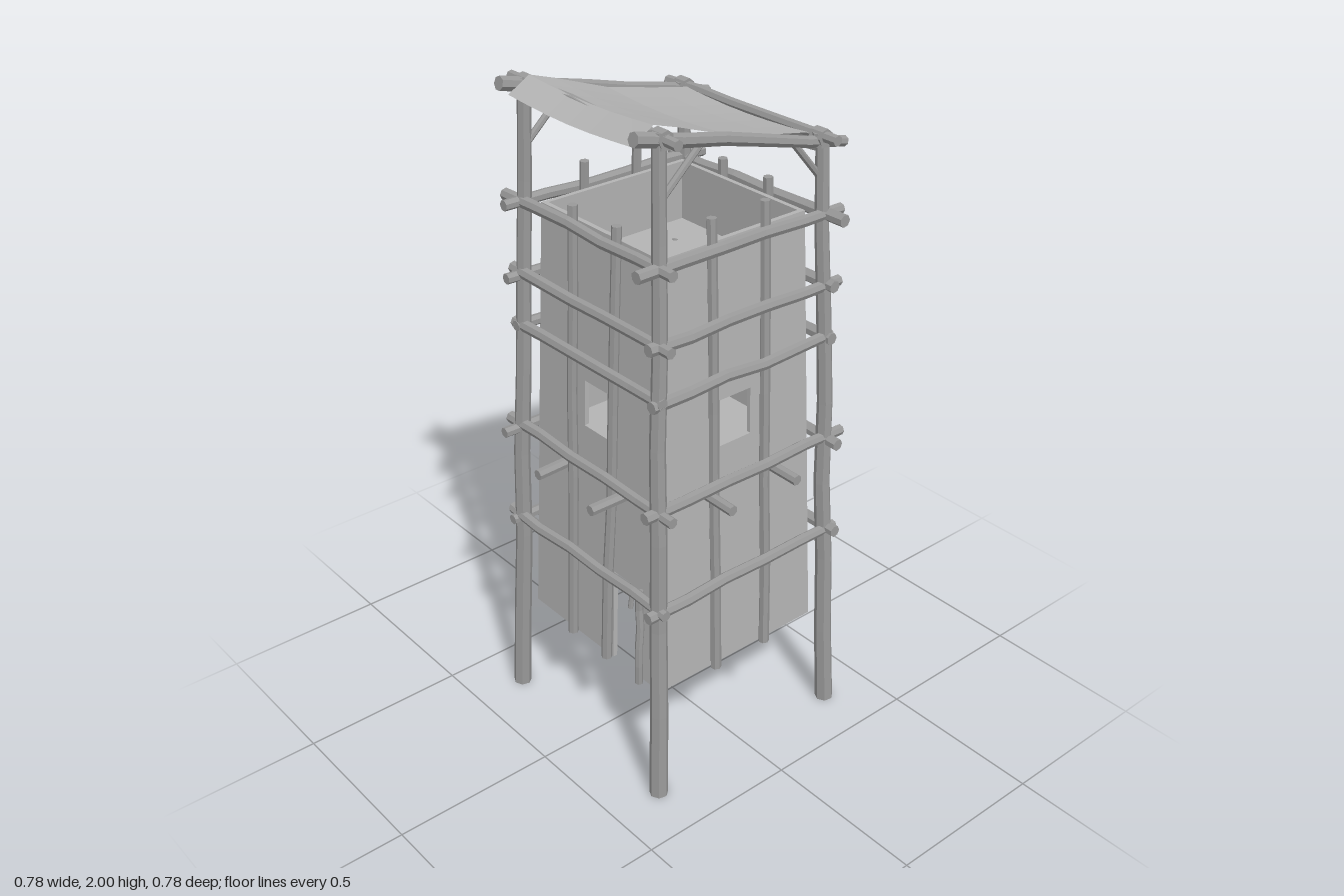
import * as THREE from 'three';

const wood = new THREE.MeshStandardMaterial({ color: 0x999999, flatShading: true });
wood.name = 'weathered wood';
const panel = new THREE.MeshStandardMaterial({ color: 0xb4b4b4, flatShading: true, side: THREE.DoubleSide });
panel.name = 'pale panel';

let seed = 7;
const rand = () => {
  seed = (seed * 16807) % 2147483647;
  return seed / 2147483647 - 0.5;
};

// Half-widths of the tapering tower at a given height
const wallAt = (y) => 0.305 - 0.034 * y;
const legAt = (y) => 0.335 - 0.032 * y;

// Slightly crooked log between two points
function log(parent, name, a, b, r0, r1 = r0, bend = 0.008, rows = 5) {
  const from = new THREE.Vector3(...a), to = new THREE.Vector3(...b);
  const length = from.distanceTo(to);
  const geo = new THREE.CylinderGeometry(r1, r0, length, 7, rows);
  const shift = [];
  for (let i = 0; i <= rows; i++) {
    const inner = i > 0 && i < rows ? bend : 0;
    shift.push([rand() * inner, rand() * inner]);
  }
  const p = geo.attributes.position;
  for (let i = 0; i < p.count; i++) {
    const row = Math.round((p.getY(i) / length + 0.5) * rows);
    p.setX(i, p.getX(i) + shift[row][0]);
    p.setZ(i, p.getZ(i) + shift[row][1]);
  }
  geo.computeVertexNormals();
  const mesh = new THREE.Mesh(geo, wood);
  mesh.name = name;
  mesh.position.copy(from).add(to).multiplyScalar(0.5);
  mesh.quaternion.setFromUnitVectors(new THREE.Vector3(0, 1, 0), to.sub(from).normalize());
  parent.add(mesh);
}

// Tapered wall with a window and, on the front, a doorway
function wall(hasDoor) {
  const lo = 0.32, hi = 1.635, s = new THREE.Shape();
  s.moveTo(-wallAt(lo), lo);
  if (hasDoor) {
    s.lineTo(0.08, lo);
    s.lineTo(0.08, 0.62);
    s.lineTo(0.2, 0.62);
    s.lineTo(0.2, lo);
  }
  s.lineTo(wallAt(lo), lo);
  s.lineTo(wallAt(hi), hi);
  s.lineTo(-wallAt(hi), hi);
  s.closePath();
  const hole = new THREE.Path();
  hole.moveTo(-0.058, 1.035);
  hole.lineTo(-0.058, 1.175);
  hole.lineTo(0.053, 1.175);
  hole.lineTo(0.053, 1.035);
  hole.closePath();
  s.holes.push(hole);
  const geo = new THREE.ExtrudeGeometry(s, { depth: 0.014, bevelEnabled: false });
  const p = geo.attributes.position;
  for (let i = 0; i < p.count; i++) p.setZ(i, p.getZ(i) - 0.014 + wallAt(p.getY(i)));
  geo.computeVertexNormals();
  const mesh = new THREE.Mesh(geo, panel);
  mesh.name = 'wall';
  return mesh;
}

function ladder(name, x, y0, z0, y1, z1) {
  const g = new THREE.Group();
  g.name = name;
  for (const dx of [0, 0.095]) log(g, 'ladderRail', [x + dx, y0, z0], [x + dx, y1, z1], 0.008);
  for (let i = 1; i < 6; i++) {
    const t = i / 6, y = y0 + (y1 - y0) * t, z = z0 + (z1 - z0) * t;
    log(g, 'ladderRung', [x - 0.015, y, z], [x + 0.11, y, z], 0.006, 0.006, 0, 1);
  }
  return g;
}

export function createModel() {
  const model = new THREE.Group();
  model.name = 'watchtower';

  // Four sides: wall, two upright poles and five cross beams each
  const beams = [[0.63, 0.36, 0.352], [0.94, 0.36, 0.37], [1.265, 0.325, 0.318], [1.425, 0.33, 0.345], [1.63, 0.36, 0.345]];
  const sideNames = ['frontSide', 'leftSide', 'backSide', 'rightSide'];
  sideNames.forEach((name, k) => {
    const side = new THREE.Group();
    side.name = name;
    side.rotation.y = k * Math.PI / 2;
    side.add(wall(k === 0));
    const top = k % 2 ? 1.71 : 1.68;
    for (const s of [-1, 1]) {
      const x0 = k === 0 && s > 0 ? 0.066 : s * 0.095;
      log(side, 'uprightPole', [x0, 0.32, wallAt(0.32) + 0.014], [s * 0.092, top, wallAt(top) + 0.014], 0.016, 0.014);
    }
    for (const [y, a, b] of beams) {
      const z = legAt(y) + 0.006;
      log(side, 'crossBeam', [-a, y + rand() * 0.014, z], [b, y + rand() * 0.014, z], 0.018, 0.016, 0.01);
    }
    if (k === 0) log(side, 'doorPost', [0.215, 0.315, 0.308], [0.21, 0.63, 0.297], 0.012);
    model.add(side);
  });

  // Corner legs, the front pair taller
  for (const sx of [-1, 1]) for (const sz of [-1, 1]) {
    const top = sz > 0 ? 1.98 : 1.85;
    log(model, 'cornerLeg', [sx * 0.338, 0, sz * 0.338], [sx * legAt(top), top, sz * legAt(top)], 0.028, 0.019, 0.008, 7);
  }

  // Floors and the beams carrying the lower one
  for (const y of [0.935, 1.45]) {
    const w = 2 * wallAt(y) - 0.02;
    const floor = new THREE.Mesh(new THREE.BoxGeometry(w, 0.016, w), panel);
    floor.name = 'floor';
    floor.position.y = y;
    model.add(floor);
  }
  for (const d of [-0.122, 0.118]) {
    log(model, 'floorBeam', [-0.392, 0.915, d], [0.392, 0.91, d], 0.016);
    log(model, 'floorBeam', [d, 0.89, -0.392], [d, 0.89, 0.392], 0.016);
  }
  model.add(ladder('lowerLadder', -0.03, 0.36, 0.14, 0.95, 0.06));
  model.add(ladder('upperLadder', -0.135, 0.94, -0.01, 1.46, -0.125));

  // Roof frame with braces and lashings
  log(model, 'roofCrossPole', [-0.34, 1.965, 0.265], [0.335, 1.96, 0.265], 0.015);
  log(model, 'roofCrossPole', [-0.34, 1.84, -0.272], [0.335, 1.845, -0.272], 0.015);
  for (const s of [-1, 1]) {
    const x = s * 0.272;
    log(model, 'roofSidePole', [x, 1.978, 0.35], [x, 1.808, -0.362], 0.02, 0.015);
    log(model, 'roofBrace', [x, 1.8, 0.272], [x, 1.92, 0.14], 0.01, 0.01, 0);
    log(model, 'roofBrace', [x, 1.73, -0.275], [x, 1.85, -0.17], 0.01, 0.01, 0);
    for (const [y, z] of [[1.963, 0.265], [1.842, -0.272]]) {
      log(model, 'lashing', [x - 0.02, y, z], [x + 0.02, y, z], 0.024, 0.024, 0, 1);
      log(model, 'lashing', [x, y - 0.025, z], [x, y + 0.012, z], 0.025, 0.025, 0, 1);
    }
  }

  // Sagging roof cover, folded down at both ends
  const rows = [[1.95, 0.336], [1.99, 0.27], [1.965, 0.19], [1.905, 0.02], [1.87, -0.14], [1.842, -0.285], [1.768, -0.335]];
  const geo = new THREE.PlaneGeometry(1, 1, 6, rows.length - 1);
  const p = geo.attributes.position;
  for (let i = 0; i < p.count; i++) {
    const r = Math.floor(i / 7), u = p.getX(i);
    const half = 0.252 - 0.002 * r;
    p.setXYZ(i, u * 2 * half, rows[r][0] - 0.012 * Math.cos(u * Math.PI), rows[r][1]);
  }
  geo.computeVertexNormals();
  const roof = new THREE.Mesh(geo, panel);
  roof.name = 'roofCover';
  model.add(roof);

  return model;
}
